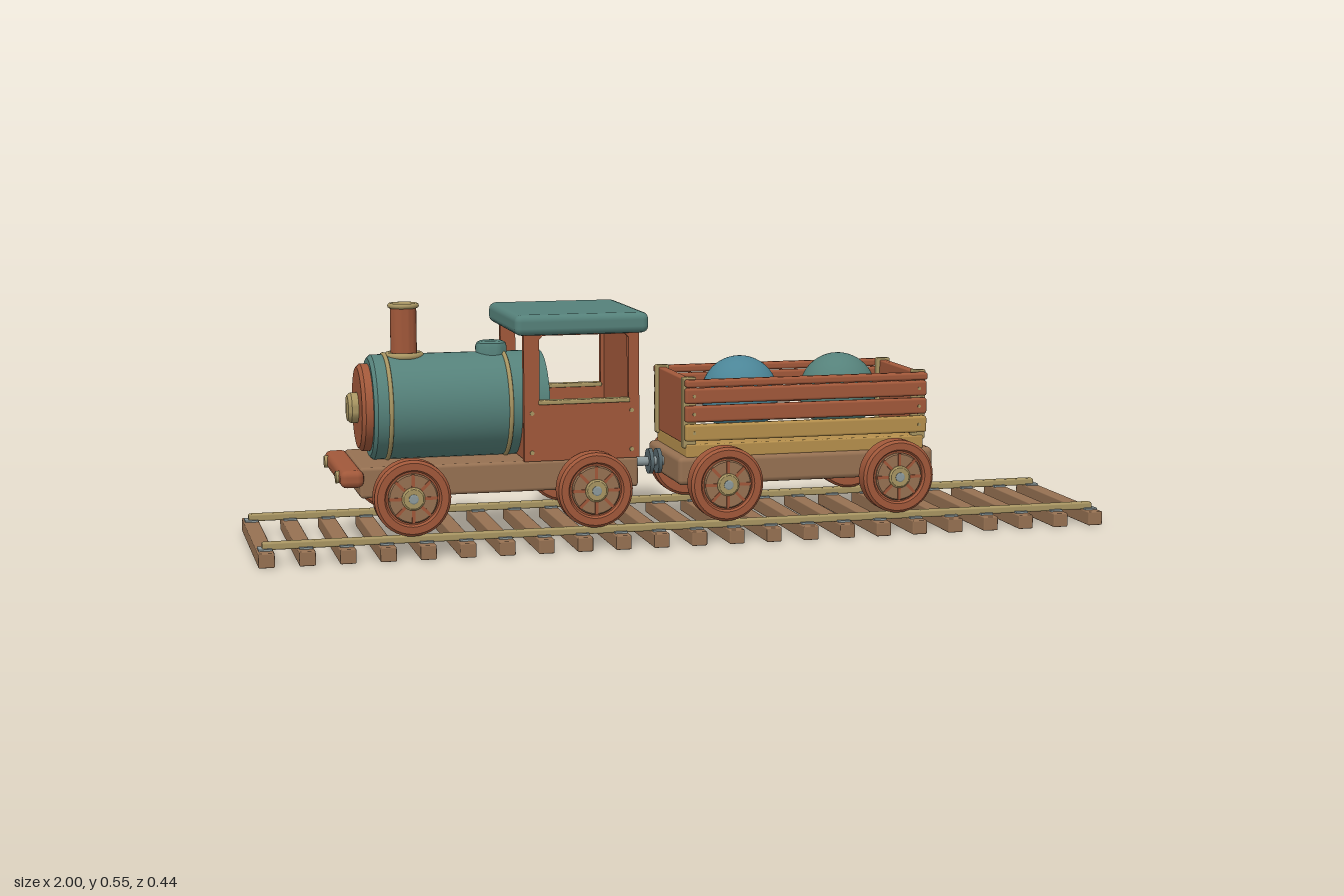
import * as THREE from 'three';
import { toCreasedNormals } from 'three/addons/utils/BufferGeometryUtils.js';
import { RoundedBoxGeometry } from 'three/addons/geometries/RoundedBoxGeometry.js';

const mat = (name, color) => {
  const m = new THREE.MeshStandardMaterial({ color });
  m.name = name;
  return m;
};

export function createModel() {
  const rust = mat('rust paint', 0xa1583a);
  const wood = mat('brown wood', 0x967152);
  const tan = mat('golden wood', 0xb58f4c);
  const brass = mat('pale brass', 0xa89562);
  const teal = mat('teal paint', 0x55817a);
  const blue = mat('blue paint', 0x4b8597);
  const steel = mat('steel', 0x8d9a9c);
  const dark = mat('dark steel', 0x56676c);

  const root = new THREE.Group();
  root.name = 'toyTrain';
  const group = (name, parent = root) => {
    const g = new THREE.Group();
    g.name = name;
    parent.add(g);
    return g;
  };
  const add = (parent, name, geo, material, x = 0, y = 0, z = 0) => {
    const m = new THREE.Mesh(geo, material);
    m.name = name;
    m.position.set(x, y, z);
    parent.add(m);
    return m;
  };
  // Rounded box given by its minimum and maximum corners
  const box = (parent, name, material, [x0, x1], [y0, y1], [z0, z1], r = 0.004) => {
    const w = x1 - x0, h = y1 - y0, d = z1 - z0;
    const geo = new RoundedBoxGeometry(w, h, d, 2, Math.min(r, w / 2.1, h / 2.1, d / 2.1));
    return add(parent, name, geo, material, (x0 + x1) / 2, (y0 + y1) / 2, (z0 + z1) / 2);
  };
  // Turned part: profile of [radius, height] around y
  const turn = (profile, segments = 40) => toCreasedNormals(
    new THREE.LatheGeometry(profile.map(p => new THREE.Vector2(...p)), segments), 0.6);
  const rodX = (r, l, s = 24) => new THREE.CylinderGeometry(r, r, l, s).rotateZ(Math.PI / 2);

  // Track: sleepers, rails and chair plates
  const track = group('track');
  const plateGeo = new THREE.BoxGeometry(0.03, 0.004, 0.04);
  const sleeperGeo = new RoundedBoxGeometry(0.036, 0.033, 0.442, 2, 0.003);
  for (let i = 0; i < 23; i++) {
    const x = -0.982 + i * 1.964 / 22;
    add(track, 'sleeper', sleeperGeo, wood, x, 0.0165, 0);
    for (const s of [-1, 1]) add(track, 'railPlate', plateGeo, steel, x, 0.035, s * 0.176);
  }
  for (const s of [-1, 1]) {
    box(track, 'rail', brass, [-0.988, 0.988], [0.033, 0.05], [s * 0.176 - 0.0105, s * 0.176 + 0.0105]);
  }

  // Wheels: tyre with a recessed disc, spokes, hub and cap
  const tyreGeo = turn([[0, 0.155], [0.08, 0.155], [0.086, 0.161], [0.086, 0.196], [0.08, 0.202],
    [0.064, 0.202], [0.06, 0.195], [0, 0.195]]).rotateX(Math.PI / 2);
  const discGeo = turn([[0.056, 0.19], [0.056, 0.199], [0.053, 0.202], [0, 0.202]]).rotateX(Math.PI / 2);
  const hubGeo = turn([[0.026, 0.195], [0.026, 0.205], [0.022, 0.208], [0, 0.208]], 24).rotateX(Math.PI / 2);
  const capGeo = turn([[0.011, 0.2], [0.011, 0.21], [0.008, 0.212], [0, 0.212]], 16).rotateX(Math.PI / 2);
  const spokeGeo = new THREE.BoxGeometry(0.03, 0.007, 0.004).translate(0.04, 0, 0.202);
  const wheelPair = (parent, x) => {
    const pair = group('wheelPair', parent);
    pair.position.set(x, 0.136, 0);
    add(pair, 'axle', new THREE.CylinderGeometry(0.0115, 0.0115, 0.36, 20).rotateX(Math.PI / 2), steel);
    for (const turnY of [0, Math.PI]) {
      const wheel = group('wheel', pair);
      wheel.rotation.y = turnY;
      add(wheel, 'tyre', tyreGeo, rust);
      add(wheel, 'wheelDisc', discGeo, wood);
      add(wheel, 'hub', hubGeo, brass);
      add(wheel, 'hubCap', capGeo, steel);
      for (let i = 0; i < 8; i++) {
        add(wheel, 'spoke', spokeGeo, rust).rotation.z = i * Math.PI / 4;
      }
    }
  };

  // Engine frame and buffer beam
  const engine = group('engine');
  box(engine, 'engineFrame', wood, [-0.765, -0.125], [0.13, 0.2], [-0.142, 0.142], 0.008);
  box(engine, 'bufferBeam', rust, [-0.81, -0.757], [0.157, 0.197], [-0.162, 0.162], 0.015);
  for (const s of [-1, 1]) add(engine, 'buffer', rodX(0.014, 0.012), brass, -0.81, 0.177, s * 0.11);
  wheelPair(engine, -0.655);
  wheelPair(engine, -0.238);

  // Boiler with end plate, knob and bands
  const by = 0.317;
  const lying = geo => geo.rotateZ(Math.PI / 2);
  add(engine, 'boiler', lying(turn([[0, -0.2], [0.12, -0.2], [0.12, 0.192], [0.112, 0.2], [0, 0.2]], 56)),
    teal, -0.526, by);
  add(engine, 'boilerDoor', lying(turn([[0, -0.02], [0.1, -0.02], [0.1, 0.016], [0.092, 0.024], [0, 0.024]], 48)),
    rust, -0.727, by);
  add(engine, 'doorKnob', lying(turn([[0.035, -0.01], [0.035, 0.014], [0.029, 0.022], [0, 0.024]], 32)),
    brass, -0.752, by);
  for (const x of [-0.688, -0.415]) {
    add(engine, 'boilerBand', new THREE.TorusGeometry(0.12, 0.005, 8, 56).rotateY(Math.PI / 2), brass, x, by);
  }
  // Hollow chimney with collars, and the steam dome
  add(engine, 'chimney', turn([[0.02, 0.43], [0.03, 0.43], [0.03, 0.548], [0.022, 0.548], [0.022, 0.43]], 32),
    rust, -0.642);
  const collar = (r, t) => new THREE.TorusGeometry(r, t, 10, 32).rotateX(Math.PI / 2);
  add(engine, 'chimneyRim', collar(0.03, 0.006), brass, -0.642, 0.548);
  add(engine, 'chimneyBase', collar(0.038, 0.008), brass, -0.642, 0.434);
  add(engine, 'steamDome', turn([[0.036, 0.42], [0.036, 0.45], [0.033, 0.458], [0.025, 0.462], [0, 0.462]], 32),
    teal, -0.44);

  // Cab: side walls with a window opening, solid rear, open front above a low panel
  const cab = group('cab', engine);
  const side = new THREE.Shape([[-0.393, 0.2], [-0.125, 0.2], [-0.125, 0.492], [-0.393, 0.492]]
    .map(p => new THREE.Vector2(...p)));
  side.holes.push(new THREE.Path([[-0.357, 0.333], [-0.357, 0.478], [-0.349, 0.486], [-0.158, 0.486],
    [-0.15, 0.478], [-0.15, 0.333]].map(p => new THREE.Vector2(...p))));
  const sideGeo = new THREE.ExtrudeGeometry(side, { depth: 0.017, bevelEnabled: false });
  for (const s of [-1, 1]) {
    add(cab, 'cabSide', sideGeo, rust, 0, 0, s * 0.1415 - 0.0085);
    box(cab, 'windowSill', brass, [-0.36, -0.147], [0.329, 0.339], [s * 0.143 - 0.012, s * 0.143 + 0.012], 0.003);
    for (const x of [-0.375, -0.143]) for (const y of [0.22, 0.31]) {
      add(cab, 'screw', new THREE.CylinderGeometry(0.005, 0.005, 0.004, 10).rotateX(Math.PI / 2),
        brass, x, y, s * 0.151);
    }
  }
  box(cab, 'cabRear', rust, [-0.142, -0.122], [0.2, 0.492], [-0.136, 0.136]);
  box(cab, 'cabFront', rust, [-0.39, -0.372], [0.2, 0.333], [-0.136, 0.136]);
  box(cab, 'roof', teal, [-0.415, -0.105], [0.488, 0.535], [-0.171, 0.171], 0.016);

  // Coupling between engine and wagon
  const coupling = group('coupling');
  add(coupling, 'couplingRod', rodX(0.011, 0.13), steel, -0.078, 0.165);
  for (const x of [-0.063, -0.043]) add(coupling, 'couplingDisc', rodX(0.03, 0.009), dark, x, 0.165);

  // Wagon frame, floor and slatted sides
  const wagon = group('wagon');
  box(wagon, 'wagonFrame', wood, [-0.03, 0.595], [0.127, 0.193], [-0.144, 0.144], 0.012);
  box(wagon, 'wagonFloor', tan, [-0.01, 0.572], [0.19, 0.222], [-0.137, 0.137]);
  wheelPair(wagon, 0.072);
  wheelPair(wagon, 0.489);
  const slats = [[0.231, 0.27, tan, 0.153], [0.275, 0.313, rust, 0.152],
    [0.318, 0.354, rust, 0.152], [0.356, 0.374, rust, 0.157]];
  for (const s of [-1, 1]) {
    for (const [y0, y1, m, z] of slats) {
      const zs = [s * 0.132, s * z].sort((a, b) => a - b);
      box(wagon, 'sideSlat', m, [-0.015, 0.575], [y0, y1], zs, 0.006);
      if (z < 0.155) for (const x of [0.005, 0.555]) {
        add(wagon, 'slatScrew', new THREE.CylinderGeometry(0.004, 0.004, 0.004, 10).rotateX(Math.PI / 2),
          brass, x, (y0 + y1) / 2, s * z);
      }
    }
    const x = 0.28 + s * 0.281;
    box(wagon, 'endPanel', rust, [x - 0.01, x + 0.01], [0.22, 0.373], [-0.133, 0.133]);
    for (const t of [-1, 1]) {
      box(wagon, 'cornerPost', brass, [x - 0.016, x + 0.016], [0.213, 0.378],
        [t * 0.124 - 0.01, t * 0.124 + 0.01], 0.003);
    }
  }
  // Ball cargo
  const ballGeo = new THREE.SphereGeometry(0.092, 40, 28);
  add(wagon, 'blueBall', ballGeo, blue, 0.158, 0.317);
  add(wagon, 'tealBall', ballGeo, teal, 0.403, 0.317);
  return root;
}
